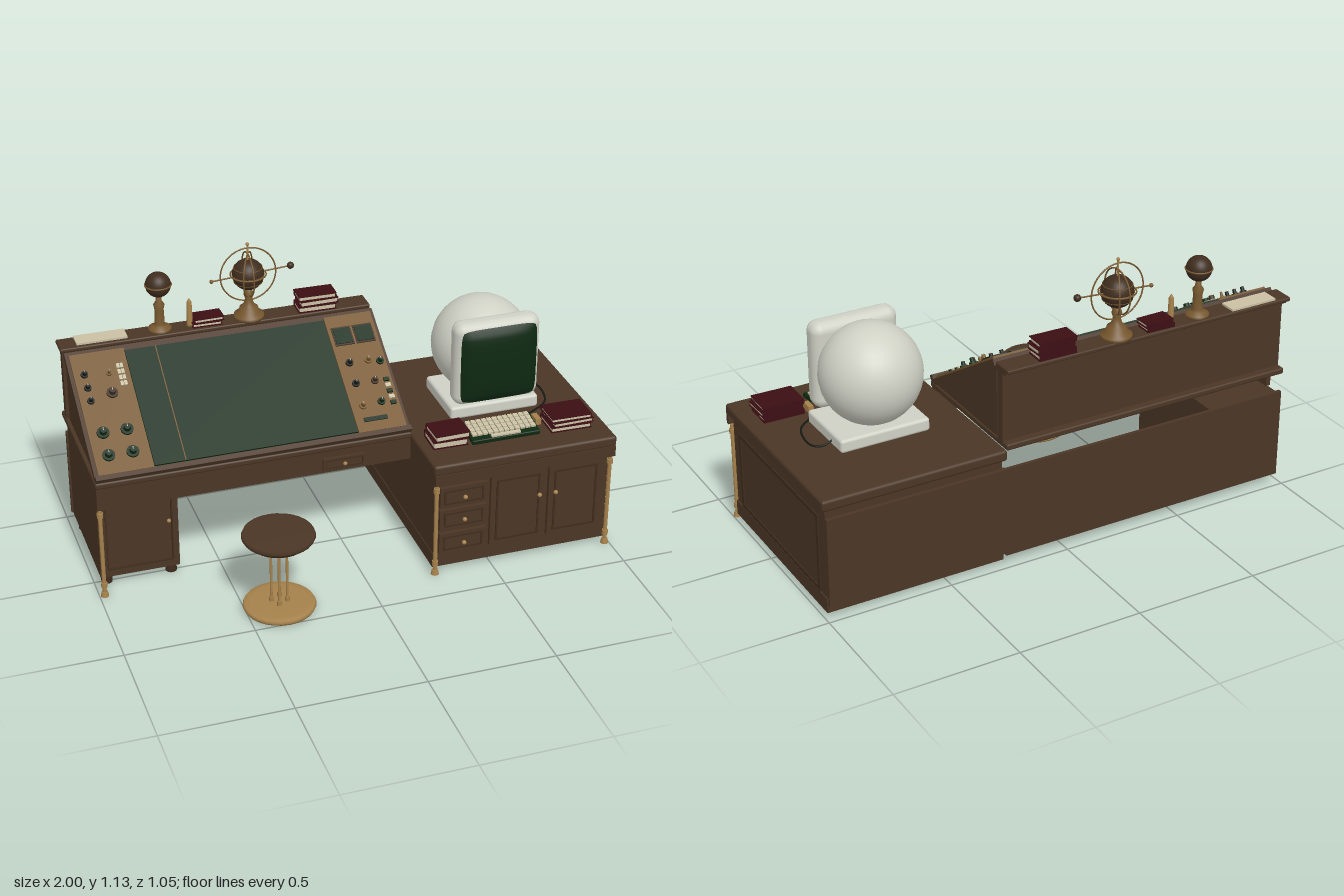
import * as THREE from 'three';
import { RoundedBoxGeometry } from 'three/addons/geometries/RoundedBoxGeometry.js';

const mat = (name, color, side = THREE.FrontSide) => {
  const m = new THREE.MeshStandardMaterial({ color, side });
  m.name = name;
  return m;
};

export function createModel() {
  const wood = mat('walnut', 0x4b3625), darkWood = mat('dark walnut', 0x3f2d1e);
  const bronze = mat('bronze', 0x77582f), brass = mat('brass', 0xa5814b);
  const green = mat('dark green', 0x0e2912, THREE.DoubleSide), white = mat('off white', 0xd0d1c5);
  const red = mat('oxblood', 0x3c0f14), cream = mat('cream', 0xc9c0a3), black = mat('near black', 0x171a14);

  const root = new THREE.Group();
  root.name = 'draftingWorkstation';
  const group = (name, parent = root) => {
    const g = new THREE.Group();
    g.name = name;
    parent.add(g);
    return g;
  };
  const add = (parent, name, geo, m, x = 0, y = 0, z = 0) => {
    const mesh = new THREE.Mesh(geo, m);
    mesh.name = name;
    mesh.position.set(x, y, z);
    parent.add(mesh);
    return mesh;
  };
  // Box from its limits on each axis
  const box = (p, name, m, x0, x1, y0, y1, z0, z1) => add(p, name,
    new THREE.BoxGeometry(x1 - x0, y1 - y0, z1 - z0), m, (x0 + x1) / 2, (y0 + y1) / 2, (z0 + z1) / 2);
  const slab = (p, name, m, x0, x1, y0, y1, z0, z1, r) => add(p, name,
    new RoundedBoxGeometry(x1 - x0, y1 - y0, z1 - z0, 3, r), m, (x0 + x1) / 2, (y0 + y1) / 2, (z0 + z1) / 2);
  const rod = (p, name, m, r, h, x, y, z, r2 = r) => add(p, name, new THREE.CylinderGeometry(r2, r, h, 20), m, x, y, z);
  const lathe = (p, name, m, pts, x, y, z) => add(p, name,
    new THREE.LatheGeometry(pts.map(a => new THREE.Vector2(...a)), 28), m, x, y, z);
  const ball = (p, name, m, r, x, y, z) => add(p, name, new THREE.SphereGeometry(r, 32, 20), m, x, y, z);
  // Flat picture frame facing +z
  const frame = (p, name, m, w, h, t, d, x, y, z) => {
    const s = new THREE.Shape([[-w, -h], [w, -h], [w, h], [-w, h]].map(a => new THREE.Vector2(a[0] / 2, a[1] / 2)));
    s.holes.push(new THREE.Path([[-1, -1], [-1, 1], [1, 1], [1, -1]]
      .map(a => new THREE.Vector2(a[0] * (w / 2 - t), a[1] * (h / 2 - t)))));
    return add(p, name, new THREE.ExtrudeGeometry(s, { depth: d, bevelEnabled: false }), m, x, y, z);
  };
  const leg = (p, x, z, h) => {
    rod(p, 'legPost', brass, 0.008, h, x, h / 2, z);
    rod(p, 'legFoot', brass, 0.016, 0.02, x, 0.01, z, 0.012);
    rod(p, 'legCollar', brass, 0.012, 0.02, x, 0.05, z);
    rod(p, 'legCollar', brass, 0.012, 0.02, x, h - 0.03, z);
  };

  // Right-hand cabinet
  const cab = group('cabinet');
  slab(cab, 'cabinetTop', wood, 0.25, 1, 0.445, 0.49, -0.482, 0.37, 0.012);
  box(cab, 'frontLip', wood, 0.255, 0.995, 0.405, 0.45, 0.355, 0.372);
  box(cab, 'cabinetBody', wood, 0.265, 0.985, 0.02, 0.445, -0.465, 0.33);
  box(cab, 'plinth', wood, 0.262, 0.99, 0.02, 0.08, -0.468, 0.335);
  box(cab, 'backPanel', wood, 0.255, 0.985, 0.05, 0.41, -0.48, -0.46);
  frame(cab, 'sidePanelFrame', darkWood, 0.69, 0.32, 0.016, 0.004, 0.985, 0.24, -0.065).rotation.y = Math.PI / 2;
  for (const y of [0.33, 0.23, 0.125]) {
    box(cab, 'drawerFront', wood, 0.285, 0.478, y - 0.044, y + 0.044, 0.33, 0.345);
    frame(cab, 'drawerFrame', darkWood, 0.16, 0.06, 0.006, 0.004, 0.382, y, 0.345);
    ball(cab, 'drawerKnob', brass, 0.009, 0.382, y, 0.36);
  }
  for (const [x, k] of [[0.605, 0.69], [0.845, 0.757]]) {
    box(cab, 'door', wood, x - 0.112, x + 0.112, 0.08, 0.4, 0.33, 0.345);
    frame(cab, 'doorFrame', darkWood, 0.18, 0.27, 0.008, 0.004, x, 0.235, 0.345);
    ball(cab, 'doorKnob', brass, 0.009, k, 0.28, 0.36);
  }
  for (const x of [0.267, 0.983]) leg(cab, x, 0.352, 0.405);

  // Drafting desk carcass
  const desk = group('draftingDesk');
  slab(desk, 'deskTop', wood, -0.995, 0.25, 0.482, 0.508, -0.475, 0.12, 0.008);
  box(desk, 'frontApron', wood, -0.99, 0.248, 0.385, 0.484, 0.07, 0.108);
  box(desk, 'sideApron', wood, -0.99, -0.97, 0.4, 0.484, -0.4, 0.07);
  box(desk, 'apronDrawer', wood, -0.11, 0.06, 0.4, 0.45, 0.108, 0.12);
  frame(desk, 'apronDrawerFrame', darkWood, 0.15, 0.036, 0.004, 0.003, -0.025, 0.425, 0.12);
  ball(desk, 'apronDrawerKnob', brass, 0.008, -0.025, 0.425, 0.13);
  box(desk, 'kneeholeBack', wood, -0.985, 0.255, 0.04, 0.41, -0.48, -0.465);
  box(desk, 'pedestal', wood, -0.978, -0.665, 0.035, 0.4, -0.466, 0.03);
  frame(desk, 'pedestalDoor', wood, 0.3, 0.33, 0.02, 0.008, -0.82, 0.215, 0.03);
  frame(desk, 'pedestalDoorTrim', darkWood, 0.262, 0.292, 0.005, 0.01, -0.82, 0.215, 0.03);
  ball(desk, 'pedestalKnob', brass, 0.008, -0.705, 0.25, 0.045);
  for (const x of [-0.95, -0.695]) for (const z of [0.002, -0.4]) rod(desk, 'pedestalFoot', darkWood, 0.022, 0.036, x, 0.018, z);
  leg(desk, -0.98, 0.1, 0.39);
  const wedge = new THREE.Shape([[-0.11, 0.505], [0.39, 0.505], [0.39, 0.79], [0.35, 0.79]].map(a => new THREE.Vector2(...a)));
  add(desk, 'slopedBody', new THREE.ExtrudeGeometry(wedge, { depth: 1.225, bevelEnabled: false }), wood, -0.98).rotation.y = Math.PI / 2;
  box(desk, 'rearBoard', wood, -0.99, 0.25, 0.49, 0.8, -0.442, -0.405);
  slab(desk, 'rearShelf', wood, -0.998, 0.252, 0.798, 0.815, -0.485, -0.392, 0.006);
  box(desk, 'rearMoulding', wood, -0.992, 0.25, 0.785, 0.8, -0.465, -0.395);
  const mid = desk.getObjectByName('slopedBody');
  mid.position.set(-0.98, 0, 0);

  // Sloping board: local +y is the surface normal, z follows the slope
  const tilt = 0.56, board = group('slopingBoard', desk);
  board.position.set(0, 0.662, -0.125);
  board.rotation.x = tilt;
  const lz = z => (z + 0.125) / Math.cos(tilt);
  const plate = (name, m, x0, x1, z0, z1, y0, y1) => box(board, name, m, x0, x1, y0, y1, lz(z0), lz(z1));
  plate('boardBase', wood, -0.99, 0.248, -0.365, 0.11, -0.025, 0);
  plate('drawingSurface', green, -0.76, 0.04, -0.34, 0.09, 0, 0.008);
  plate('leftConsole', bronze, -0.975, -0.762, -0.35, 0.095, 0, 0.008);
  plate('rightConsole', bronze, 0.042, 0.235, -0.35, 0.095, 0, 0.008);
  plate('ruler', bronze, -0.642, -0.638, -0.34, 0.09, 0.008, 0.011);
  plate('pencilRail', wood, -0.99, 0.248, 0.1, 0.116, -0.02, 0.018);
  const dial = (x, z, r, m) => {
    rod(board, 'dialSkirt', m, r, 0.008, x, 0.012, lz(z));
    rod(board, 'dialKnob', m, r * 0.6, 0.022, x, 0.022, lz(z), r * 0.5);
    box(board, 'dialPointer', cream, x - 0.0015, x + 0.0015, 0.032, 0.0345, lz(z) - r * 0.45, lz(z));
  };
  for (const x of [-0.92, -0.828]) for (const z of [-0.052, 0.03]) dial(x, z, 0.024, green);
  for (const z of [-0.27, -0.22, -0.172]) dial(-0.935, z, 0.014, black);
  dial(-0.848, -0.19, 0.022, darkWood);
  dial(-0.842, -0.262, 0.01, bronze);
  for (let i = 0; i < 2; i++) for (let j = 0; j < 4; j++) {
    const x = -0.802 + i * 0.014, z = -0.285 + j * 0.022;
    plate('key', cream, x - 0.006, x + 0.006, z - 0.008, z + 0.008, 0.008, 0.014);
  }
  for (const x of [0.095, 0.182]) {
    plate('meterBezel', darkWood, x - 0.039, x + 0.039, -0.304, -0.234, 0.008, 0.012);
    plate('meterFace', green, x - 0.034, x + 0.034, -0.298, -0.24, 0.012, 0.015);
  }
  for (const [x, z, m] of [[0.088, -0.165, black], [0.165, -0.165, bronze], [0.21, -0.155, green],
    [0.088, -0.085, black], [0.165, -0.085, darkWood], [0.088, 0, bronze], [0.165, -0.005, green]]) dial(x, z, 0.015, m);
  for (let j = 0; j < 5; j++) plate('toggle', j % 2 ? cream : green, 0.2, 0.222, -0.09 + j * 0.022, -0.077 + j * 0.022, 0.008, 0.016);
  plate('lowerSlot', green, 0.075, 0.17, 0.045, 0.06, 0.008, 0.012);

  // Stool
  const stool = group('stool');
  stool.position.set(-0.37, 0, 0.382);
  lathe(stool, 'seat', wood, [[0, 0.292], [0.11, 0.292], [0.118, 0.31], [0.135, 0.312], [0.14, 0.322], [0.135, 0.334], [0, 0.334]], 0, 0, 0);
  lathe(stool, 'stoolBase', brass, [[0, 0.008], [0.135, 0.008], [0.14, 0.018], [0.135, 0.027], [0.11, 0.03], [0, 0.031]], 0, 0, 0);
  for (let i = 0; i < 4; i++) {
    const a = i * Math.PI / 2 + 0.3, x = 0.03 * Math.cos(a), z = 0.03 * Math.sin(a);
    rod(stool, 'stoolPost', brass, 0.005, 0.27, x, 0.16, z);
    rod(stool, 'stoolPostCollar', brass, 0.009, 0.02, x, 0.04, z);
  }

  // Spherical monitor
  const mon = group('monitor');
  slab(mon, 'monitorBase', white, 0.43, 0.795, 0.497, 0.55, -0.22, 0.065, 0.012);
  ball(mon, 'monitorShell', white, 0.195, 0.61, 0.733, -0.1);
  slab(mon, 'monitorBezel', white, 0.435, 0.785, 0.563, 0.912, 0, 0.094, 0.04);
  const face = new THREE.PlaneGeometry(2, 2, 16, 16), pos = face.attributes.position;
  for (let i = 0; i < pos.count; i++) {
    const u = pos.getX(i), v = pos.getY(i), k = 0.156 * (1 - 0.06 * (u * v) ** 6);
    pos.setXYZ(i, u * k, v * k, 0.028 * Math.sqrt(Math.max(0, (1 - u ** 4) * (1 - v ** 4))) * (1 - 0.15 * (u * u + v * v)));
  }
  face.computeVertexNormals();
  add(mon, 'screen', face, green, 0.61, 0.735, 0.092);
  const cable = new THREE.CatmullRomCurve3([[0.79, 0.52, -0.14], [0.83, 0.5, -0.13], [0.86, 0.497, -0.1], [0.84, 0.497, 0.03], [0.74, 0.5, 0.11], [0.69, 0.51, 0.15]]
    .map(a => new THREE.Vector3(...a)));
  add(mon, 'cable', new THREE.TubeGeometry(cable, 40, 0.004, 8), black);

  // Keyboard
  const kb = group('keyboard');
  kb.position.set(0.583, 0.512, 0.2);
  kb.rotation.x = 0.14;
  slab(kb, 'keyboardCase', green, -0.14, 0.14, -0.012, 0.008, -0.065, 0.065, 0.005);
  for (let r = 0; r < 4; r++) for (let c = 0; c < 12; c++) {
    const x = -0.121 + c * 0.022, z = -0.044 + r * 0.024;
    box(kb, 'keyCap', cream, x - 0.009, x + 0.009, 0.008, 0.016, z - 0.01, z + 0.01);
  }
  box(kb, 'spaceBar', cream, -0.06, 0.06, 0.008, 0.015, 0.046, 0.06);
  box(root, 'inkBlock', brass, 0.735, 0.757, 0.49, 0.515, 0.14, 0.19);

  // Stacks of books
  const books = (name, x, y, z, w, d, heights) => {
    const g = group(name);
    heights.forEach((h, i) => {
      const s = group('book', g);
      s.position.set(x + (i % 2 ? 0.004 : -0.003), y, z);
      s.rotation.y = (i % 2 ? 1 : -1) * 0.02;
      box(s, 'pages', cream, -w / 2 + 0.005, w / 2 - 0.005, 0.003, h - 0.003, -d / 2 + 0.004, d / 2 - 0.004);
      for (const b of [0, h - 0.004]) box(s, 'cover', red, -w / 2, w / 2, b, b + 0.004, -d / 2, d / 2);
      box(s, 'spine', red, -w / 2, w / 2, 0, h, -d / 2, -d / 2 + 0.004);
      y += h;
    });
  };
  books('leftDeskBooks', 0.365, 0.49, 0.19, 0.14, 0.115, [0.03, 0.026]);
  books('rightDeskBooks', 0.855, 0.49, 0.208, 0.165, 0.125, [0.022, 0.02, 0.019]);
  books('smallShelfBooks', -0.408, 0.815, -0.44, 0.118, 0.07, [0.018, 0.018]);
  books('tallShelfBooks', 0.04, 0.815, -0.438, 0.155, 0.08, [0.025, 0.024, 0.022]);

  // Shelf ornaments
  const Z = -0.438;
  box(root, 'paperStack', cream, -0.93, -0.73, 0.815, 0.823, -0.478, -0.408);
  const standProfile = [[0, 0], [0.045, 0], [0.045, 0.012], [0.028, 0.022], [0.02, 0.03], [0.018, 0.09], [0.022, 0.11], [0.012, 0.125], [0.01, 0.155], [0, 0.155]];
  const globe = group('smallGlobe');
  lathe(globe, 'globeStand', bronze, standProfile, -0.595, 0.815, Z);
  ball(globe, 'globeBall', darkWood, 0.05, -0.595, 1.01, Z);
  add(globe, 'globeBand', new THREE.TorusGeometry(0.051, 0.003, 8, 40), bronze, -0.595, 1.01, Z).rotation.x = Math.PI / 2;
  lathe(root, 'candlestick', brass, [[0, 0], [0.014, 0], [0.012, 0.008], [0.01, 0.1], [0.003, 0.115], [0, 0.115]], -0.475, 0.815, Z);

  const arm = group('armillarySphere');
  arm.position.set(-0.235, 1, Z);
  lathe(arm, 'armillaryStand', bronze, [[0, 0], [0.06, 0], [0.06, 0.014], [0.042, 0.022], [0.036, 0.045], [0.022, 0.055], [0.014, 0.08], [0.02, 0.1], [0.012, 0.125], [0, 0.13]], 0, -0.185, 0);
  ball(arm, 'armillaryGlobe', darkWood, 0.063, 0, 0, 0);
  const ring = (name, r, rx, ry) => {
    add(arm, name, new THREE.TorusGeometry(r, 0.003, 8, 56), bronze).rotation.set(rx, ry, 0);
  };
  ring('frontRing', 0.112, 0, 0);
  ring('meridianRing', 0.087, 0, Math.PI / 2);
  ring('obliqueRing', 0.087, 0, 1.1);
  ring('horizonRing', 0.07, Math.PI / 2, 0);
  for (const y of [-0.03, 0, 0.03]) {
    const r = Math.sqrt(0.0635 ** 2 - y * y);
    add(arm, 'latitudeBand', new THREE.TorusGeometry(r, 0.0015, 6, 40), bronze, 0, y, 0).rotation.x = Math.PI / 2;
  }
  rod(arm, 'axis', brass, 0.004, 0.24, 0, 0.01, 0);
  ball(arm, 'axisFinial', brass, 0.007, 0, 0.128, 0);
  rod(arm, 'orbitArm', bronze, 0.003, 0.32, 0.01, 0, 0).rotation.z = -Math.PI / 2 + 0.07;
  ball(arm, 'orbitBall', darkWood, 0.014, 0.172, 0.012, 0);
  ball(arm, 'orbitCounterweight', bronze, 0.008, -0.148, -0.011, 0);

  return root;
}
